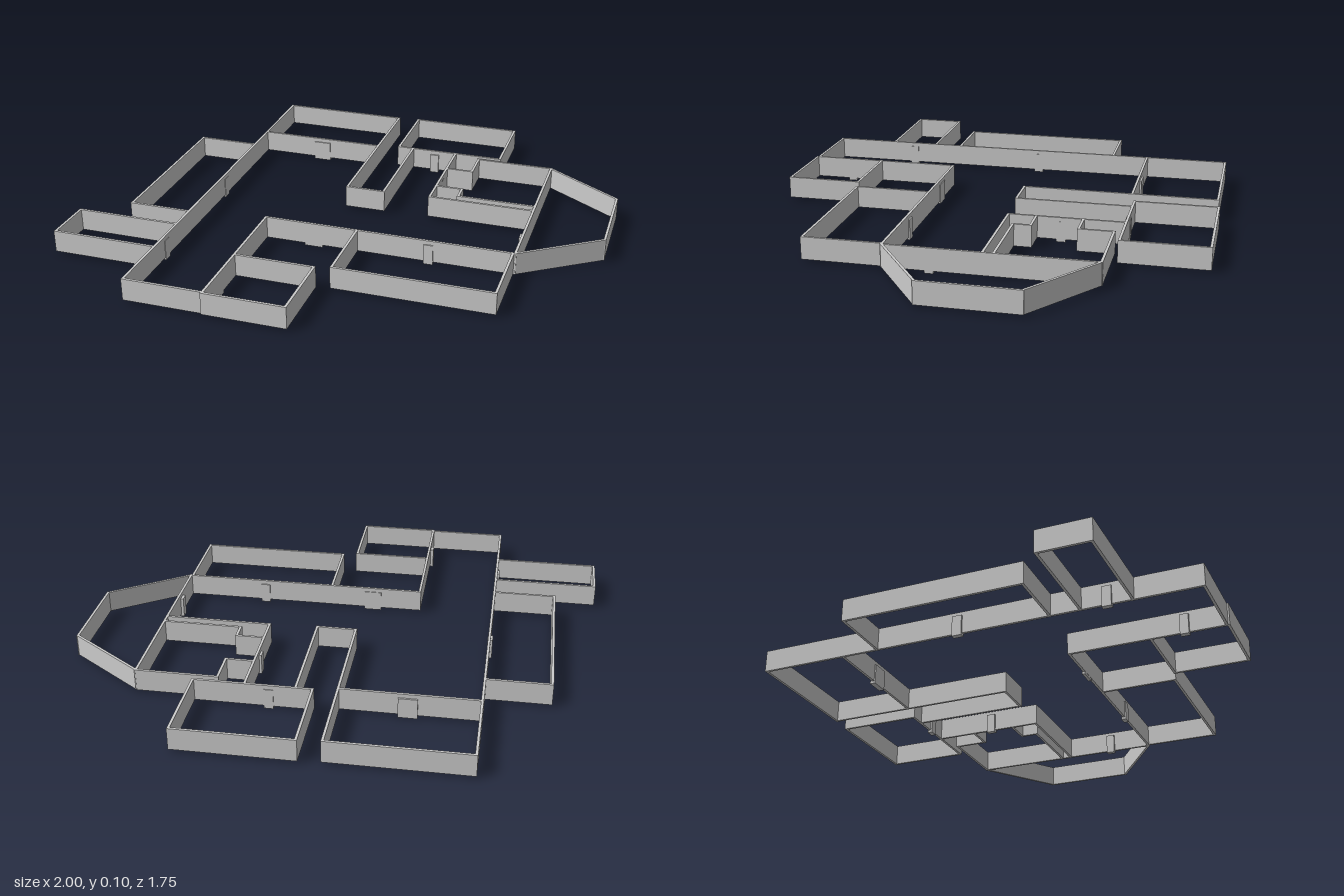
import * as THREE from 'three';

const THICK = 0.01, BASE = 0.01, TOP = 0.096;

export function createModel() {
  const model = new THREE.Group();
  model.name = 'floorPlan';
  const plaster = new THREE.MeshStandardMaterial({ color: 0xcccccc });
  plaster.name = 'light grey plaster';

  // Straight wall between two plan points, lengthened to close the corners
  function wall(parent, [x1, z1], [x2, z2]) {
    const dx = x2 - x1, dz = z2 - z1;
    const straight = dx === 0 || dz === 0;
    const length = Math.hypot(dx, dz) + (straight ? THICK : 0.004);
    const mesh = new THREE.Mesh(new THREE.BoxGeometry(length, TOP - BASE, THICK), plaster);
    mesh.position.set((x1 + x2) / 2, (TOP + BASE) / 2, (z1 + z2) / 2);
    mesh.rotation.y = -Math.atan2(dz, dx);
    mesh.name = 'wall';
    parent.add(mesh);
  }

  // Each run of walls is a path of x, z points
  const runs = {
    hallWestWall: [[-0.585, -0.865], [-0.585, 0.862], [-0.28, 0.862]],
    northRoom: [[-0.585, -0.865], [-0.065, -0.865], [-0.065, -0.095], [0.088, -0.095], [0.088, -0.55]],
    northRoomDivider: [[-0.585, -0.53], [-0.065, -0.53]],
    northEastRoom: [[0.025, -0.873], [0.47, -0.873], [0.47, -0.55], [0.025, -0.55], [0.025, -0.873]],
    corridorEastWall: [[0.277, -0.55], [0.277, -0.105], [0.695, -0.105]],
    eastRoomNorth: [[0.277, -0.39], [0.385, -0.39], [0.385, -0.52], [0.695, -0.52], [0.695, 0.26]],
    eastRoomSouth: [[0.277, -0.212], [0.385, -0.212], [0.385, -0.145], [0.695, -0.145]],
    bay: [[0.695, -0.52], [0.993, -0.31], [0.993, 0.052], [0.695, 0.26]],
    hallSouthWall: [[0.695, 0.26], [-0.28, 0.26], [-0.28, 0.868]],
    southEastRoom: [[0.088, 0.26], [0.088, 0.56], [0.687, 0.56], [0.687, 0.26]],
    southRoom: [[-0.28, 0.578], [0.028, 0.578], [0.028, 0.868], [-0.28, 0.868]],
    westRoom: [[-0.585, -0.383], [-0.83, -0.383], [-0.83, 0.305], [-0.585, 0.305]],
    southWestRoom: [[-0.585, 0.42], [-0.995, 0.42], [-0.995, 0.612], [-0.585, 0.612]],
  };
  for (const [name, points] of Object.entries(runs)) {
    const group = new THREE.Group();
    group.name = name;
    for (let i = 1; i < points.length; i++) wall(group, points[i - 1], points[i]);
    model.add(group);
  }

  // Doors set through the walls: x, z, width, depth
  const doors = [
    [-0.32, -0.531, 0.072, 0.022], [0.187, -0.548, 0.035, 0.02],
    [0.273, -0.307, 0.02, 0.035], [-0.588, -0.053, 0.02, 0.038],
    [-0.588, 0.519, 0.02, 0.036], [-0.286, 0.709, 0.022, 0.034],
    [-0.085, 0.258, 0.07, 0.012], [0.37, 0.26, 0.036, 0.02],
    [0.689, 0.088, 0.02, 0.034],
  ];
  for (const [x, z, w, d] of doors) {
    const door = new THREE.Mesh(new THREE.BoxGeometry(w, 0.08, d), plaster);
    door.position.set(x, 0.04, z);
    door.name = 'door';
    model.add(door);
  }
  return model;
}
